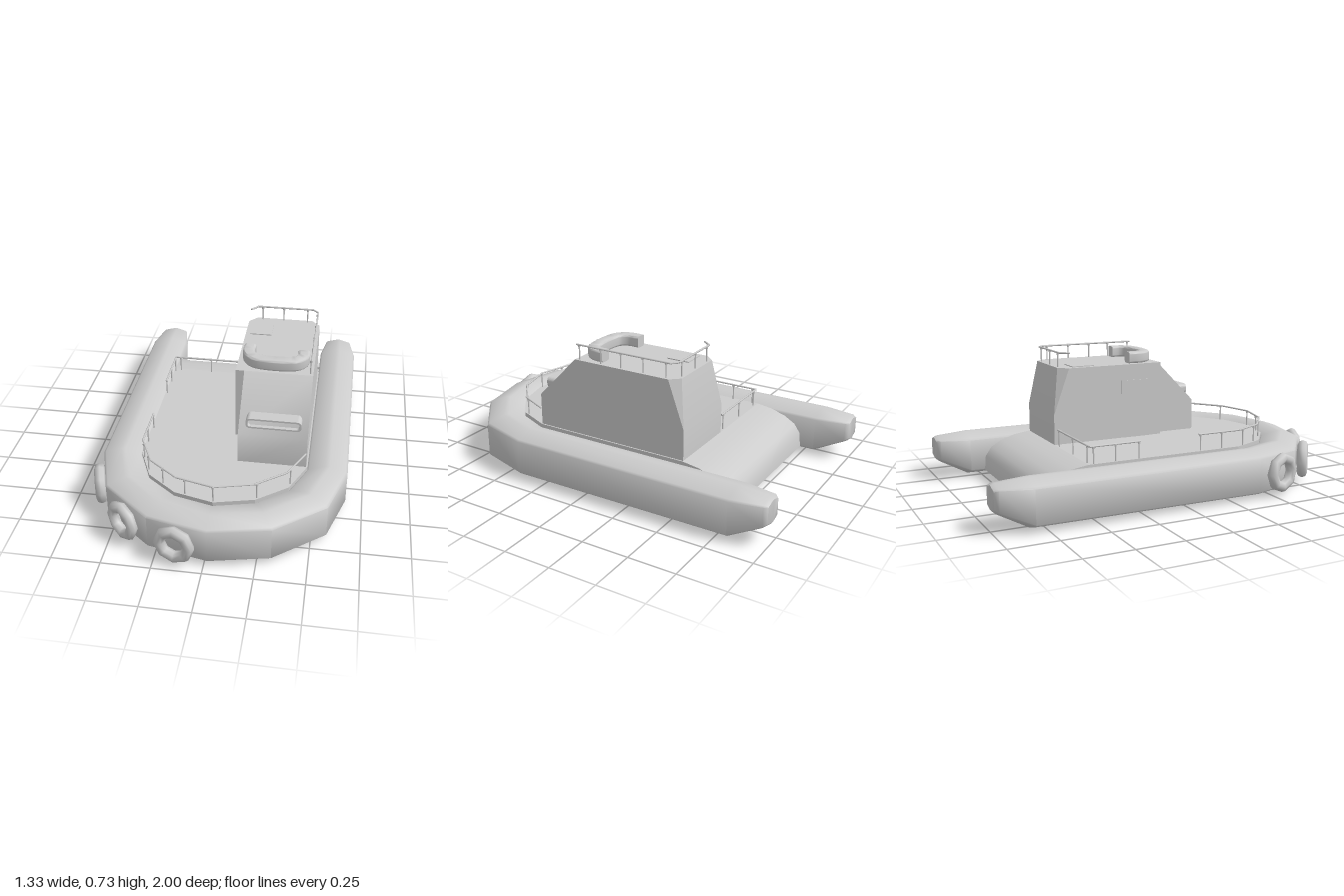
import * as THREE from 'three';
import { toCreasedNormals } from 'three/addons/utils/BufferGeometryUtils.js';
import { ConvexGeometry } from 'three/addons/geometries/ConvexGeometry.js';

const CX = 0.017; // centre line of the hull
const DECK = 0.238;
const FLOOR = 0.036;
const grey = new THREE.MeshStandardMaterial({ color: 0xcccccc });
const V = (x, y, z) => new THREE.Vector3(x, y, z);

function add(parent, name, geometry) {
  const mesh = new THREE.Mesh(geometry, grey);
  mesh.name = name;
  parent.add(mesh);
  return mesh;
}

function box(parent, name, x0, x1, y0, y1, z0, z1) {
  const mesh = add(parent, name, new THREE.BoxGeometry(x1 - x0, y1 - y0, z1 - z0));
  mesh.position.set((x0 + x1) / 2, (y0 + y1) / 2, (z0 + z1) / 2);
}

// Side profile of [z, y] points, extruded from x0 to x1
function profile(points, x0, x1) {
  const shape = new THREE.Shape(points.map(p => new THREE.Vector2(...p)));
  return new THREE.ExtrudeGeometry(shape, { depth: x1 - x0, bevelEnabled: false })
    .rotateY(-Math.PI / 2).translate(x1, 0, 0);
}

// Round bar between two points
function bar(parent, name, a, b, r) {
  const mesh = add(parent, name, new THREE.CylinderGeometry(r, r, a.distanceTo(b), 6));
  mesh.position.copy(a).lerp(b, 0.5);
  mesh.quaternion.setFromUnitVectors(V(0, 1, 0), b.clone().sub(a).normalize());
}

// Handrail through [x, z] points, with posts at [x, z] positions
function railing(parent, name, path, posts, y0, y1) {
  const group = new THREE.Group();
  group.name = name;
  for (let i = 0; i + 1 < path.length; i++) {
    bar(group, 'handrail', V(path[i][0], y1, path[i][1]), V(path[i + 1][0], y1, path[i + 1][1]), 0.005);
  }
  for (const [x, z] of posts) {
    bar(group, 'post', V(x, y0, z), V(x, y1, z), 0.004);
    bar(group, 'postCap', V(x, y1 - 0.012, z), V(x, y1, z), 0.007);
  }
  parent.add(group);
}

// Horseshoe-shaped fender hull: one cross-section swept from stern to stern
function hullGeometry() {
  // inner x, inner z, outer x, outer z, bottom, top
  const half = [
    [0.485, -1, 0.595, -1, 0.11, 0.228],
    [0.465, -0.98, 0.612, -0.98, 0.092, 0.238],
    [0.435, -0.82, 0.645, -0.82, 0.005, 0.25],
    [0.435, 0.40, 0.645, 0.40, 0, 0.25],
    [0.355, 0.58, 0.56, 0.68, 0, 0.25],
    [0.20, 0.70, 0.305, 0.885, 0, 0.25],
  ];
  const stations = [...half, [0, 0.75, 0, 0.95, 0, 0.25],
    ...half.slice().reverse().map(s => [-s[0], s[1], -s[2], s[3], s[4], s[5]])];
  const section = [[0.44, 0], [0.56, 0], [0.95, 0.11], [1, 0.15], [1, 0.85], [0.95, 0.89],
    [0.56, 1], [0.44, 1], [0.05, 0.89], [0, 0.85], [0, 0.15], [0.05, 0.11]];
  const n = section.length, pos = [], index = [];
  for (const [xi, zi, xo, zo, y0, y1] of stations) {
    for (const [t, h] of section) {
      pos.push(CX + xi + (xo - xi) * t, y0 + (y1 - y0) * h, zi + (zo - zi) * t);
    }
  }
  for (let s = 0; s + 1 < stations.length; s++) {
    for (let j = 0; j < n; j++) {
      const k = (j + 1) % n, a = s * n, b = a + n;
      index.push(a + j, a + k, b + k, a + j, b + k, b + j);
    }
  }
  const last = (stations.length - 1) * n;
  for (let j = 1; j + 1 < n; j++) {
    index.push(0, j + 1, j, last, last + j, last + j + 1);
  }
  const g = new THREE.BufferGeometry();
  g.setAttribute('position', new THREE.Float32BufferAttribute(pos, 3));
  g.setIndex(index);
  return toCreasedNormals(g, 0.9);
}

function roundedRect(P, x0, y0, x1, y1, r) {
  const p = new P();
  p.absarc(x1 - r, y1 - r, r, 0, Math.PI / 2);
  p.absarc(x0 + r, y1 - r, r, Math.PI / 2, Math.PI);
  p.absarc(x0 + r, y0 + r, r, Math.PI, Math.PI * 1.5);
  p.absarc(x1 - r, y0 + r, r, Math.PI * 1.5, Math.PI * 2);
  p.closePath();
  return p;
}

export function createModel() {
  const boat = new THREE.Group();
  boat.name = 'boat';
  add(boat, 'fenderHull', hullGeometry());

  // Deck filling the horseshoe, and the stern platform curving down to the floor
  const side = [[0.437, -0.47], [0.437, 0.40], [0.357, 0.582], [0.202, 0.702]];
  const outline = [...side, [0, 0.752], ...side.slice().reverse().map(([x, z]) => [-x, z])];
  const deckShape = new THREE.Shape(outline.map(([x, z]) => new THREE.Vector2(CX + x, -z)));
  add(boat, 'deck', new THREE.ExtrudeGeometry(deckShape, { depth: DECK - FLOOR, bevelEnabled: false })
    .rotateX(-Math.PI / 2).translate(0, FLOOR, 0));
  add(boat, 'sternPlatform', toCreasedNormals(profile(
    [[-0.47, FLOOR], [-0.47, DECK], [-0.56, 0.225], [-0.64, 0.2], [-0.7, 0.165], [-0.735, 0.115], [-0.742, FLOOR]],
    CX - 0.437, CX + 0.437), 0.7));

  // Wheelhouse: rear block with cut corners, and a sloping front
  const cabin = new THREE.Group();
  cabin.name = 'wheelhouse';
  boat.add(cabin);
  const corners = [];
  for (const [x, inward] of [[0.045, 1], [0.447, -1]]) {
    corners.push(V(x, 0.22, -0.47), V(x, 0.40, -0.47), V(x, 0.22, 0.17), V(x, 0.648, 0.17),
      V(x, 0.648, -0.38), V(x + inward * 0.045, 0.648, -0.43));
  }
  add(cabin, 'cabinRear', toCreasedNormals(new ConvexGeometry(corners), 0.4));
  add(cabin, 'cabinFront', toCreasedNormals(profile(
    [[0.17, 0.22], [0.402, 0.22], [0.402, 0.41], [0.17, 0.648]], 0.09, 0.447), 1));
  box(cabin, 'door', 0.042, 0.05, DECK, 0.56, -0.07, 0.1);
  box(cabin, 'roofHatch', 0.07, 0.19, 0.643, 0.653, -0.35, -0.225);

  // Raised frame around the front window
  const frame = roundedRect(THREE.Shape, 0.127, 0.44, 0.412, 0.497, 0.022);
  frame.holes.push(roundedRect(THREE.Path, 0.137, 0.449, 0.402, 0.488, 0.014));
  add(cabin, 'windowFrame', new THREE.ExtrudeGeometry(frame, { depth: 0.07, bevelEnabled: false, curveSegments: 5 }))
    .position.z = 0.315;

  // Curved horn-shaped bar on the roof, with a rounded square section
  const barPath = new THREE.CatmullRomCurve3([[0.1, -0.01], [0.1, 0.06], [0.135, 0.11], [0.2, 0.125],
    [0.3, 0.125], [0.36, 0.11], [0.388, 0.07], [0.388, 0.02]].map(([x, z]) => V(x, 0.679, z)));
  const barSection = roundedRect(THREE.Shape, -0.031, -0.031, 0.031, 0.031, 0.012);
  add(cabin, 'roofBar', toCreasedNormals(new THREE.ExtrudeGeometry(barSection,
    { steps: 24, extrudePath: barPath, curveSegments: 3, bevelEnabled: false }), 1));

  // Railings: bow, stern corner and roof
  const bow = [[0.425, 0.41], [0.347, 0.575], [0.195, 0.692], [0, 0.741]];
  const bowPath = [...bow, ...bow.slice(0, 3).reverse().map(([x, z]) => [-x, z]), [-0.425, 0.16]]
    .map(([x, z]) => [CX + x, z]);
  railing(boat, 'bowRailing', bowPath,
    [[0.378, 0.55], [0.225, 0.685], [CX, 0.741], [-0.13, 0.704], [-0.255, 0.635], [-0.35, 0.54],
      [-0.396, 0.44], [-0.408, 0.30], [-0.408, 0.17]], 0.23, 0.325);
  railing(boat, 'sternRailing', [[-0.41, -0.18], [-0.41, -0.46], [0.02, -0.46]],
    [[-0.41, -0.19], [-0.41, -0.32], [-0.41, -0.44], [-0.38, -0.46], [-0.193, -0.46], [0, -0.46]],
    0.23, 0.325);
  railing(boat, 'roofRailing', [[0.435, 0.165], [0.435, -0.385], [0.405, -0.415], [0.095, -0.415], [0.058, -0.37]],
    [[0.432, 0.15], [0.432, 0.02], [0.432, -0.1], [0.432, -0.23], [0.432, -0.36],
      [0.375, -0.415], [0.24, -0.415], [0.12, -0.415]], 0.645, 0.727);

  // Ring fenders hung around one side of the bow
  for (const [x, z, nx, nz] of [[-0.141, 0.952, -0.21, 0.98], [-0.427, 0.819, -0.62, 0.78], [-0.613, 0.548, -0.957, 0.29]]) {
    const ring = add(boat, 'ringFender', new THREE.TorusGeometry(0.078, 0.029, 8, 8));
    ring.position.set(x, 0.124, z);
    ring.rotation.y = Math.atan2(nx, nz);
  }
  return boat;
}
